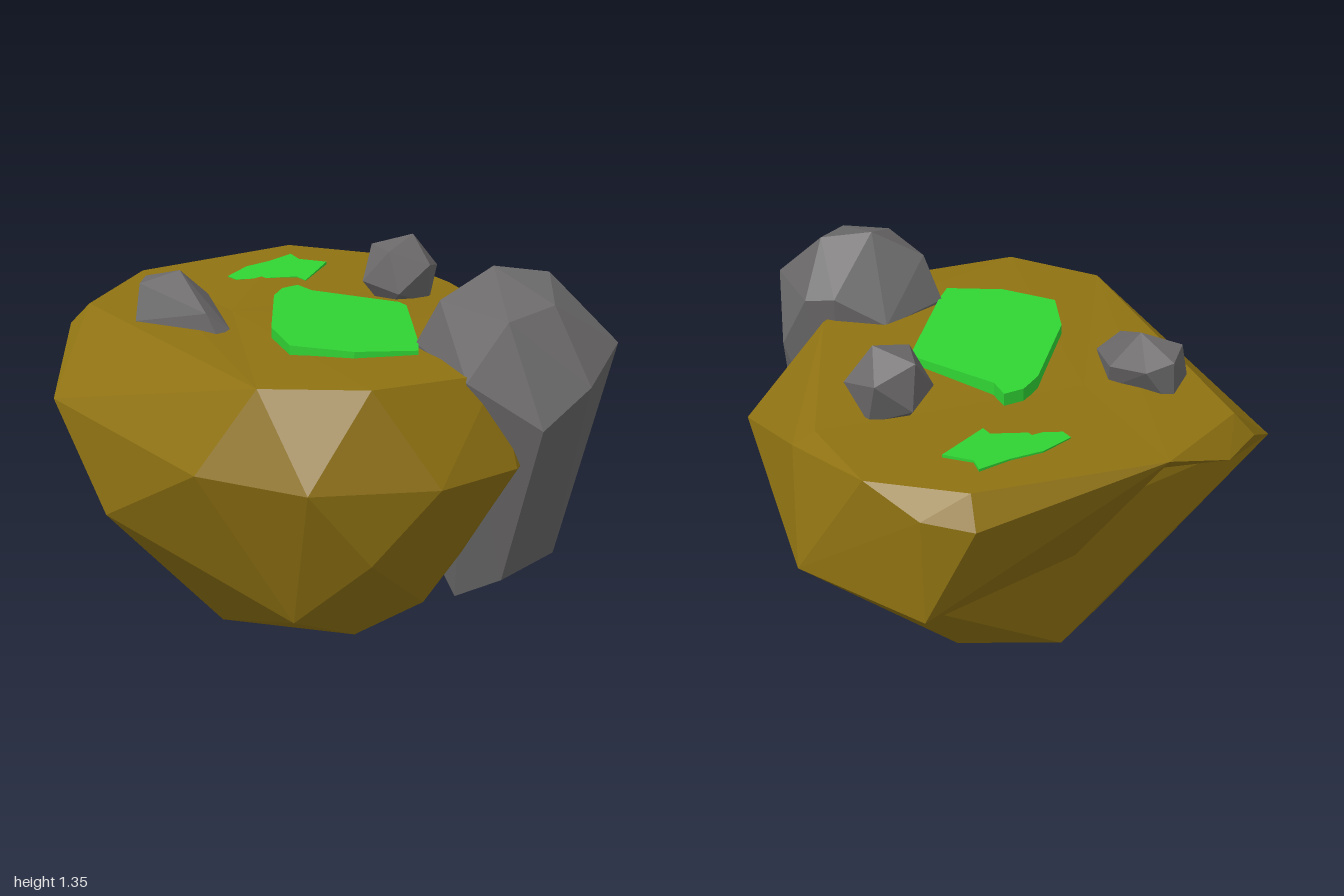
import * as THREE from 'three';
import { ConvexGeometry } from 'three/addons/geometries/ConvexGeometry.js';

const material = (color) => new THREE.MeshStandardMaterial({ color, flatShading: true });
const earth = material(0x8f7212);
const stone = material(0x6b6969);
const grass = material(0x30d434);

// Faceted solid wrapped around a few corner points
function facetedSolid(name, mat, corners) {
  const points = corners.map((c) => new THREE.Vector3(...c));
  const mesh = new THREE.Mesh(new ConvexGeometry(points), mat);
  mesh.name = name;
  return mesh;
}

// Thin slab with outline [x, z], its top following height(x, z)
function grassPatch(name, outline, thickness, height) {
  const shape = new THREE.Shape(outline.map(([x, z]) => new THREE.Vector2(x, -z)));
  const geometry = new THREE.ExtrudeGeometry(shape, { depth: thickness, bevelEnabled: false });
  geometry.rotateX(-Math.PI / 2);
  const p = geometry.attributes.position;
  for (let i = 0; i < p.count; i++) {
    p.setY(i, p.getY(i) - thickness + height(p.getX(i), p.getZ(i)));
  }
  geometry.computeVertexNormals();
  const mesh = new THREE.Mesh(geometry, grass);
  mesh.name = name;
  return mesh;
}

// Corners where the earth parts meet
const rightBulge = [-0.84, 0.82, -0.29];
const backRim = [-0.28, 1.06, -0.87];
const cornerRim = [-0.6, 1.05, -0.57];
const frontRim = [-0.52, 1.08, 0.64];
const foldEnd = [0.7, 1.03, -0.32];
const leftEdge = [0.77, 0.98, -0.3];
const foldMiddle = [-0.2, 1.04, -0.47];
const topMiddle = [-0.2, 1.055, -0.25];
const recessTop = [-0.2, 0.73, -0.27];
const recessFoot = [-0.16, 0.46, -0.31];
const ledgeRoot = [0.54, 0.47, -0.45];
const ledgeSide = [0.8, 0.65, -0.5];

export function createModel() {
  const group = new THREE.Group();
  group.name = 'rockyIsland';

  // Main bowl of earth
  group.add(facetedSolid('islandBowl', earth, [
    // top rim
    topMiddle, foldEnd, leftEdge, [0.54, 1.09, 0.42], [0.2, 1.08, 0.83], [-0.25, 1.1, 0.86],
    frontRim,
    // widest ring
    rightBulge, [-0.69, 0.8, 0.55], [-0.46, 0.8, 0.86], [-0.08, 0.8, 0.99],
    [0.22, 0.8, 0.93], [0.6, 0.82, 0.62], [0.84, 0.84, 0.25], ledgeSide,
    // lower sides
    [-0.79, 0.51, 0.04], [-0.26, 0.55, 0.89], [-0.41, 0.3, 0.66], [0.03, 0.3, 0.7],
    [-0.17, 0.19, 0.61], [0.49, 0.2, 0.01], ledgeRoot, recessTop, recessFoot,
    // underside
    [-0.38, 0.05, 0.04], [-0.06, 0, 0.06], [0.2, 0.05, -0.1], [-0.15, 0.055, -0.2],
  ]));

  // Overhanging ledge at the back
  group.add(facetedSolid('backLedge', earth, [
    // top
    topMiddle, foldMiddle, foldEnd, backRim, [0.35, 1.07, -0.94], [0.63, 1.05, -0.74],
    // outer edge
    leftEdge, [0.35, 0.97, -1.0], [0.5, 0.99, -0.93],
    // underside
    [0.49, 0.65, -0.93], ledgeSide, ledgeRoot, recessTop, recessFoot,
  ]));

  // Overhang above the recess on the right
  group.add(facetedSolid('sideLedge', earth, [
    topMiddle, foldMiddle, cornerRim, frontRim, backRim, rightBulge, recessTop,
    [-0.66, 0.98, -0.6], [-0.52, 0.98, -0.75],
  ]));

  // Tall boulder on the front left, tapering downward
  group.add(facetedSolid('largeBoulder', stone, [
    [0.33, 1.345, 0.58], [0.5, 1.32, 0.64], [0.38, 1.28, 0.86], [0.21, 1.25, 0.87],
    [0.15, 1.25, 0.56], [0.08, 1.07, 0.85], [0.1, 1.1, 0.5], [0.33, 1.08, 0.35],
    [0.5, 1.17, 0.41], [0.59, 1.15, 0.48], [0.62, 1.13, 0.86], [0.66, 0.96, 0.58],
    [0.27, 0.93, 0.99], [0.43, 1.05, 1.0], [0.64, 0.83, 0.65], [0.23, 0.8, 0.57],
    [0.49, 0.4, 0.74], [0.48, 0.42, 0.53], [0.27, 0.36, 0.78],
    [0.2, 0.25, 0.61], [0.17, 0.33, 0.58],
  ]));

  // Pointed stone on the right
  group.add(facetedSolid('pointedStone', stone, [
    [-0.39, 1.22, -0.25], [-0.52, 1.18, -0.29], [-0.45, 1.17, -0.41], [-0.36, 1.14, -0.4],
    [-0.28, 1.12, -0.27], [-0.55, 1.06, -0.26], [-0.4, 1.13, -0.01], [-0.38, 1.06, 0.035],
    [-0.32, 1.07, 0], [-0.29, 1.02, -0.22], [-0.46, 1.0, -0.4], [-0.5, 1.0, -0.2],
  ]));

  // Round pebble on the left
  const pebble = new THREE.Mesh(new THREE.IcosahedronGeometry(0.145, 0), stone);
  pebble.name = 'pebble';
  pebble.rotation.set(0.2, 0.5, 0.15);
  pebble.position.set(0.44, 1.12, -0.22);
  group.add(pebble);

  // Grass patches
  group.add(grassPatch('largeGrass', [
    [0.09, -0.33], [0.02, -0.31], [-0.05, -0.23], [-0.24, 0.15], [-0.28, 0.37],
    [-0.13, 0.52], [0.06, 0.59], [0.11, 0.5], [0.3, 0.08], [0.3, 0.03], [0.1, -0.24],
  ], 0.08, (x, z) => 1.098 - 0.02 * x + 0.015 * z));
  group.add(grassPatch('smallGrass', [
    [-0.04, -0.64], [0.07, -0.72], [0.18, -0.75], [0.29, -0.8], [0.29, -0.73],
    [0.37, -0.66], [0.28, -0.57], [0.2, -0.49], [0.19, -0.54], [-0.03, -0.59],
  ], 0.05, (x, z) => 1.03 - 0.055 * z));

  return group;
}
